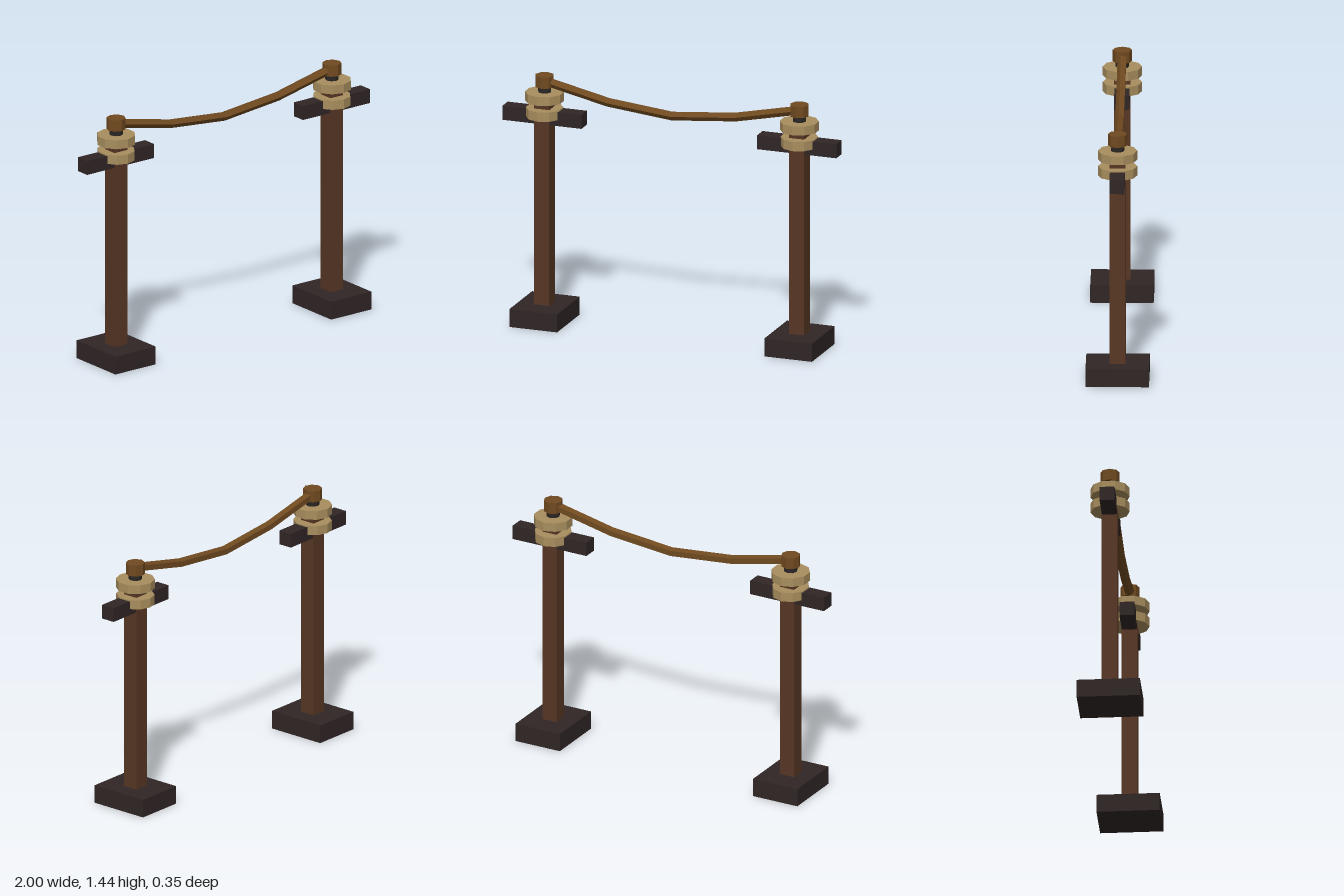
import * as THREE from 'three';

const material = (name, color) => {
  const m = new THREE.MeshStandardMaterial({ color });
  m.name = name;
  return m;
};

// Faceted normals for the low-poly look
function faceted(geometry) {
  const g = geometry.index ? geometry.toNonIndexed() : geometry;
  g.computeVertexNormals();
  return g;
}

export function createModel() {
  const darkWood = material('darkWood', 0x302626);
  const postWood = material('postWood', 0x573624);
  const ceramic = material('paleCeramic', 0xa88e5e);
  const copper = material('agedCopper', 0x704a20);
  const iron = material('darkIron', 0x2a2624);

  const model = new THREE.Group();
  model.name = 'cableSpan';

  const add = (parent, name, geometry, mat, y = 0) => {
    const mesh = new THREE.Mesh(faceted(geometry), mat);
    mesh.name = name;
    mesh.position.y = y;
    parent.add(mesh);
    return mesh;
  };
  // Parts given by their bottom and top heights
  const box = (parent, name, w, d, y0, y1, mat) =>
    add(parent, name, new THREE.BoxGeometry(w, y1 - y0, d), mat, (y0 + y1) / 2);
  const disc = (parent, name, r, sides, y0, y1, mat) =>
    add(parent, name, new THREE.CylinderGeometry(r, r, y1 - y0, sides), mat, (y0 + y1) / 2);

  // Two matching pylons
  for (const side of [-1, 1]) {
    const pylon = new THREE.Group();
    pylon.name = side < 0 ? 'rightPylon' : 'leftPylon';
    pylon.position.x = side * 0.763;
    model.add(pylon);

    box(pylon, 'footing', 0.285, 0.355, 0, 0.105, darkWood);
    box(pylon, 'post', 0.09, 0.09, 0.105, 1.278, postWood);
    box(pylon, 'crossArm', 0.474, 0.084, 1.165, 1.247, darkWood);

    // Stacked insulator with its pin and cap
    disc(pylon, 'lowerInsulator', 0.11, 10, 1.2, 1.254, ceramic).scale.x = 0.95;
    disc(pylon, 'pin', 0.038, 8, 1.25, 1.39, iron);
    disc(pylon, 'upperInsulator', 0.11, 10, 1.293, 1.345, ceramic);
    disc(pylon, 'cap', 0.054, 8, 1.377, 1.443, copper);
  }

  // Sagging cable in four straight lengths
  const path = new THREE.CurvePath();
  const points = [[-0.76, 1.41], [-0.38, 1.327], [0, 1.29], [0.38, 1.327], [0.76, 1.41]]
    .map(([x, y]) => new THREE.Vector3(x, y, 0));
  const curve = new THREE.CatmullRomCurve3(points);
  add(model, 'cable', new THREE.TubeGeometry(curve, 4, 0.027, 5, false), copper);

  return model;
}
